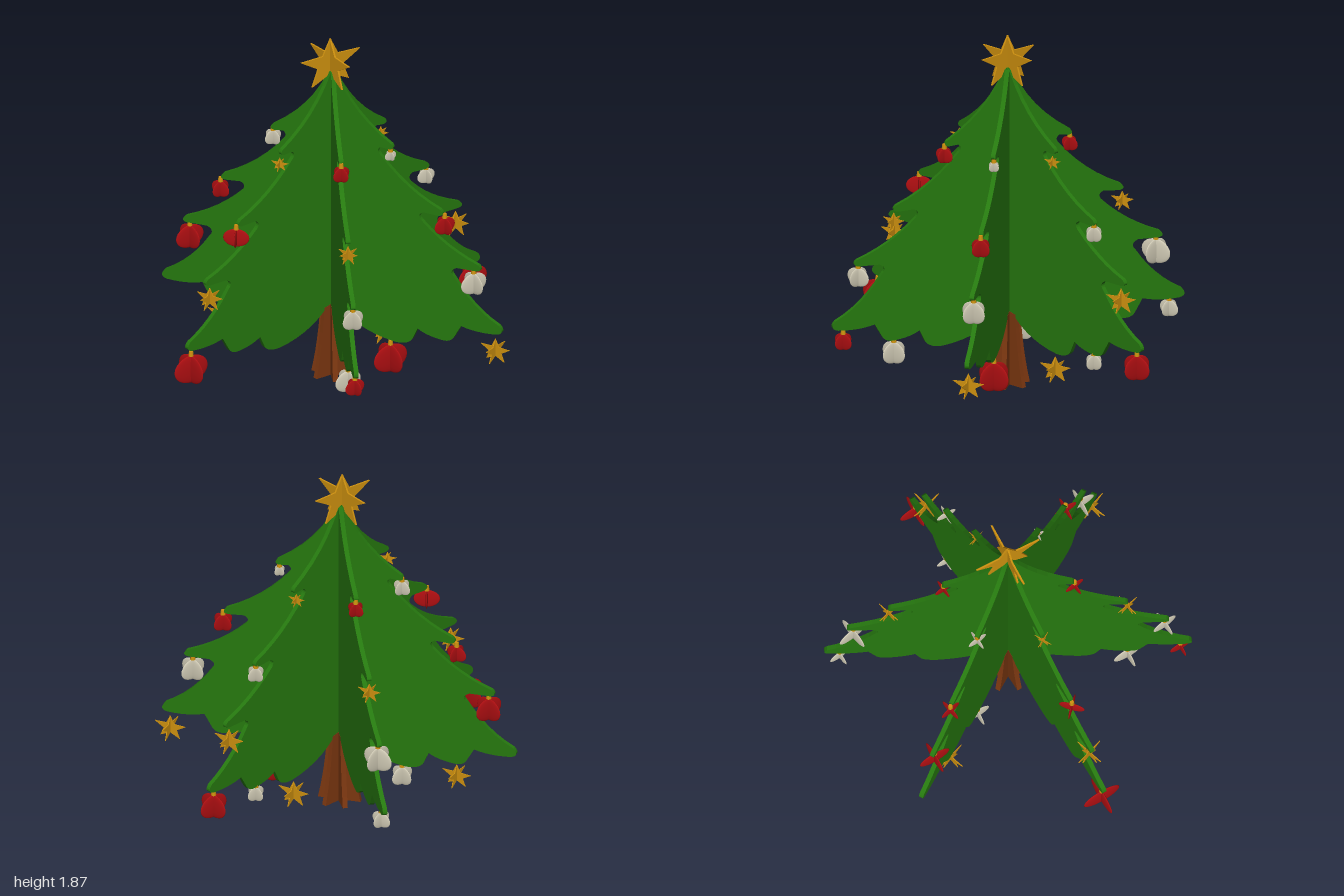
import * as THREE from 'three';

const mat = (name, color, side = THREE.FrontSide) => {
  const m = new THREE.MeshStandardMaterial({ color, side });
  m.name = name;
  return m;
};

export function createModel() {
  const green = mat('pine green', 0x26790f);
  const brown = mat('trunk brown', 0x7c3710);
  const red = mat('bauble red', 0xb20f12);
  const cream = mat('bauble cream', 0xd8d2bc);
  const gold = mat('gold', 0xd0920f);

  const tree = new THREE.Group();
  tree.name = 'tree';
  const SQUASH = 0.72; // ornaments are wider than tall
  const CX = 0.01, CZ = -0.02;
  const finAngle = (k) => THREE.MathUtils.degToRad(1.3 + 60 * k);

  // extrude a shape and centre its thickness on z = 0
  const plate = (shape, depth, curveSegments = 6) =>
    new THREE.ExtrudeGeometry(shape, { depth, bevelEnabled: false, curveSegments })
      .translate(0, 0, -depth / 2);
  const add = (parent, geo, material, name) => {
    const m = new THREE.Mesh(geo, material);
    m.name = name;
    parent.add(m);
    return m;
  };

  // half outline of the foliage: drooping tiers, then a scalloped underside
  const leaf = new THREE.Shape();
  leaf.moveTo(0, 1.7);
  leaf.lineTo(0.02, 1.69);
  leaf.quadraticCurveTo(0.12, 1.47, 0.33, 1.34);
  leaf.quadraticCurveTo(0.35, 1.315, 0.32, 1.31);
  leaf.lineTo(0.27, 1.315);
  leaf.quadraticCurveTo(0.245, 1.30, 0.265, 1.275);
  leaf.quadraticCurveTo(0.41, 1.1, 0.60, 1.02);
  leaf.quadraticCurveTo(0.63, 0.99, 0.59, 0.985);
  leaf.lineTo(0.505, 0.99);
  leaf.quadraticCurveTo(0.47, 0.975, 0.495, 0.945);
  leaf.quadraticCurveTo(0.63, 0.81, 0.81, 0.745);
  leaf.quadraticCurveTo(0.84, 0.715, 0.80, 0.71);
  leaf.lineTo(0.69, 0.71);
  leaf.quadraticCurveTo(0.645, 0.69, 0.675, 0.66);
  leaf.quadraticCurveTo(0.78, 0.5, 0.925, 0.425);
  leaf.quadraticCurveTo(0.96, 0.385, 0.91, 0.375);
  leaf.quadraticCurveTo(0.80, 0.365, 0.715, 0.39);
  leaf.lineTo(0.675, 0.32);
  leaf.quadraticCurveTo(0.655, 0.285, 0.60, 0.295);
  leaf.quadraticCurveTo(0.52, 0.305, 0.475, 0.335);
  leaf.lineTo(0.445, 0.27);
  leaf.quadraticCurveTo(0.42, 0.235, 0.35, 0.24);
  leaf.quadraticCurveTo(0.17, 0.265, 0.06, 0.37);
  leaf.lineTo(0, 0.39);
  const leafGeo = plate(leaf, 0.024);

  // half outline of the flared trunk
  const wood = new THREE.Shape();
  wood.moveTo(0, 0);
  wood.lineTo(0.113, 0);
  wood.quadraticCurveTo(0.075, 0.17, 0.062, 0.385);
  wood.lineTo(0, 0.40);
  const woodGeo = plate(wood, 0.026);

  for (let k = 0; k < 6; k++) {
    const fin = new THREE.Group();
    fin.name = 'fin' + (k + 1);
    fin.position.set(CX, 0, CZ);
    fin.rotation.y = finAngle(k);
    add(fin, leafGeo, green, 'foliage');
    add(fin, woodGeo, brown, 'trunk');
    tree.add(fin);
  }

  // unit ornament plates
  const starShape = new THREE.Shape();
  for (let i = 0; i < 10; i++) {
    const a = Math.PI / 2 + (i * Math.PI) / 5, r = i % 2 ? 0.42 : 1;
    starShape[i ? 'lineTo' : 'moveTo'](Math.cos(a) * r, Math.sin(a) * r * SQUASH);
  }
  starShape.closePath();
  const starGeo = plate(starShape, 0.05);
  const ballGeo = new THREE.SphereGeometry(1, 24, 12).scale(1, SQUASH, 0.09);
  const capGeo = new THREE.CylinderGeometry(0.011, 0.014, 0.026, 8);

  // two crossed plates, plus a cap on the baubles
  function ornament(name, material, x, y, z, size, yaw) {
    const g = new THREE.Group();
    g.name = name;
    g.position.set(x, y, z);
    g.rotation.y = yaw;
    const isStar = material === gold;
    for (const turn of [0, Math.PI / 2]) {
      const p = add(g, isStar ? starGeo : ballGeo, material, isStar ? 'starPlate' : 'baublePlate');
      p.scale.setScalar(size);
      p.rotation.y = turn;
    }
    if (!isStar) add(g, capGeo, gold, 'cap').position.y = size * SQUASH + 0.01;
    tree.add(g);
  }

  // per fin: material, radius, height, half width, yaw
  const hung = [
    [[gold, 0.31, 1.26, 0.05, 0.3], [cream, 0.60, 0.94, 0.055, 0], [gold, 0.79, 0.625, 0.092, 0.25],
      [red, 0.90, 0.29, 0.09, 0], [cream, 0.60, 0.25, 0.055, 0], [gold, 0.33, 0.15, 0.095, 0.25]],
    [[red, 0.33, 1.26, 0.052, 0.1], [gold, 0.61, 0.925, 0.07, 0.3], [cream, 0.79, 0.635, 0.09, 0.15],
      [cream, 0.86, 0.32, 0.06, 0.1]],
    [[cream, 0.33, 1.265, 0.055, 0.1], [red, 0.62, 0.925, 0.06, 0.2], [red, 0.79, 0.63, 0.087, 0],
      [gold, 0.62, 0.22, 0.088, 0.3], [cream, 0.33, 0.18, 0.07, 0]],
    [[gold, 0.34, 1.26, 0.052, 0.5], [red, 0.62, 0.925, 0.068, 0.78], [gold, 0.79, 0.63, 0.085, 0.3],
      [red, 0.91, 0.27, 0.105, 0]],
    [[red, 0.34, 1.26, 0.055, 0.1], [gold, 0.61, 0.93, 0.068, 0.2], [cream, 0.80, 0.65, 0.07, 0.1],
      [red, 0.88, 0.31, 0.06, 0], [cream, 0.61, 0.225, 0.08, 0]],
    [[cream, 0.32, 1.27, 0.036, 0], [red, 0.62, 0.93, 0.064, 0], [cream, 0.78, 0.635, 0.08, 0],
      [gold, 0.90, 0.28, 0.093, 0.35], [red, 0.32, 0.14, 0.105, 0]],
  ];
  hung.forEach((list, k) => {
    const a = finAngle(k);
    for (const [m, r, y, size, yaw] of list) {
      ornament(m === gold ? 'hangingStar' : 'bauble', m,
        CX + Math.cos(a) * r, y, CZ - Math.sin(a) * r, size, yaw);
    }
  });

  // star on the tip
  ornament('treeTopStar', gold, 0, 1.735, -0.027, 0.19, -0.05);

  return tree;
}
